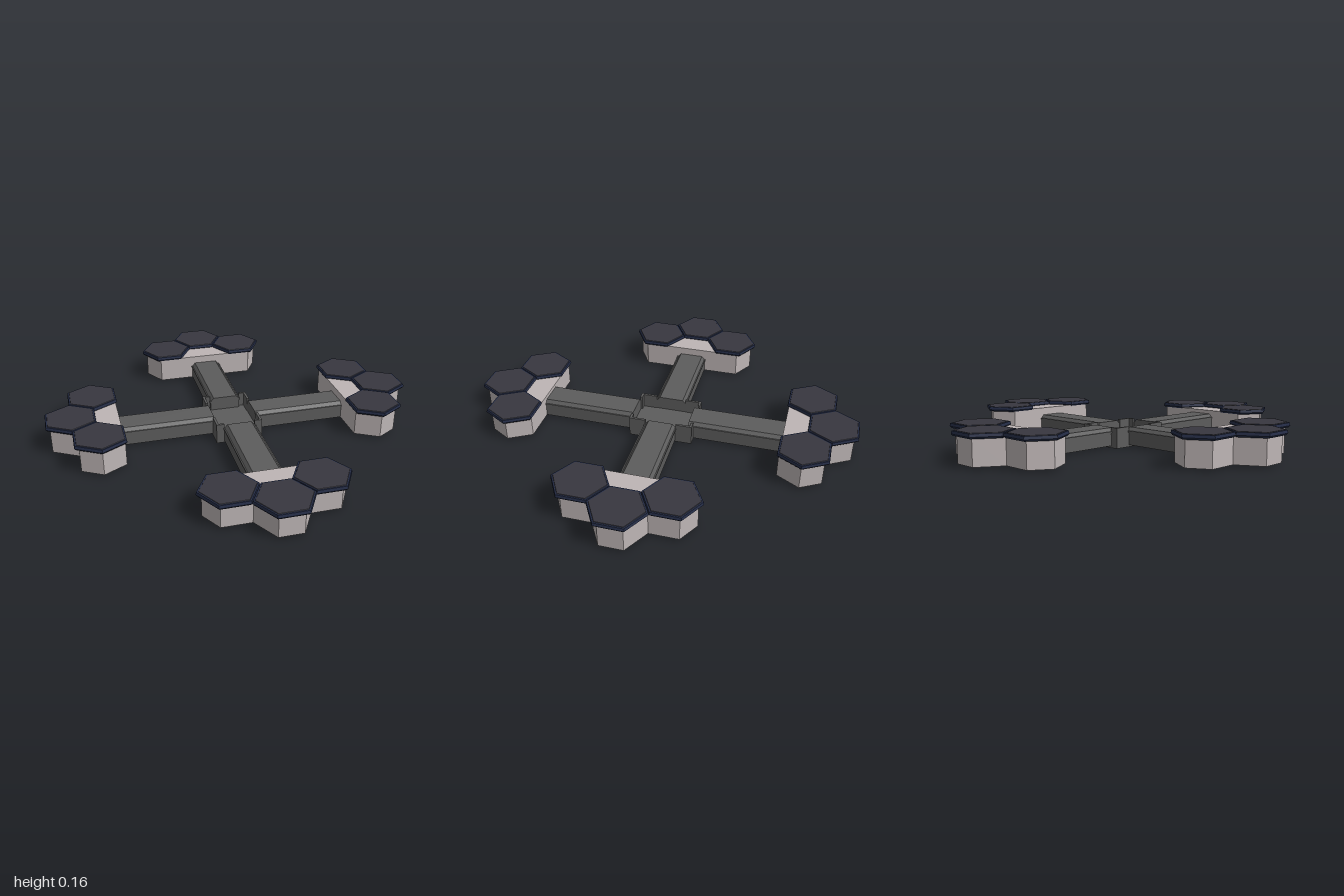
import * as THREE from 'three';

const mat = (color) => new THREE.MeshStandardMaterial({ color, flatShading: true });
const shellMat = mat(0xbdb5b5);
const armMat = mat(0x5c5c5c);
const rimMat = mat(0x252d47);
const padMat = mat(0x38373f);

const R = 0.143;              // hexagon corner radius
const A = R * Math.sqrt(3) / 2; // hexagon apothem

function add(parent, name, geometry, material, x = 0, y = 0, z = 0) {
  const mesh = new THREE.Mesh(geometry, material);
  mesh.name = name;
  mesh.position.set(x, y, z);
  parent.add(mesh);
  return mesh;
}

// Hexagonal disc with flat sides facing +z and -z
function hexagon(top, bottom, height) {
  return new THREE.CylinderGeometry(top, bottom, height, 6).rotateY(Math.PI / 6);
}

function polygon(points) {
  return new THREE.Shape(points.map(([x, y]) => new THREE.Vector2(x, y)));
}

// Shared shell of three joined hexagons, local +z pointing outward
function podShell(height) {
  const half = [[0.059, 0.103], [0.131, -0.022], [0.274, -0.022], [0.333, -0.125], [0.267, -0.24]];
  const mirrored = half.map(([x, y]) => [-x, y]).reverse();
  const geometry = new THREE.ExtrudeGeometry(polygon([...half, ...mirrored]), { depth: height, bevelEnabled: false });
  return geometry.rotateX(Math.PI / 2).translate(0, height, 0);
}

function createPod(top) {
  const pod = new THREE.Group();
  pod.name = 'pod';
  add(pod, 'podShell', podShell(top - 0.03), shellMat, 0, 0.01, 0);
  for (const [x, z] of [[0, 0], [-1.5 * R, -A], [1.5 * R, -A]]) {
    const pad = new THREE.Group();
    pad.name = 'hexagonPad';
    pad.position.set(x, top, z);
    add(pad, 'padUnderside', hexagon(R, R - 0.008, 0.009), rimMat, 0, -0.0205, 0);
    add(pad, 'padRim', hexagon(R - 0.003, R, 0.014), rimMat, 0, -0.009, 0);
    add(pad, 'padSurface', hexagon(R - 0.013, R - 0.01, 0.004), padMat, 0, -0.002, 0);
    pod.add(pad);
  }
  return pod;
}

// Beam with chamfered upper edges, running along local +z
function armBeam(length) {
  const half = [[0.08, 0.01], [0.08, 0.08], [0.063, 0.1]];
  const mirrored = half.map(([x, y]) => [-x, y]).reverse();
  return new THREE.ExtrudeGeometry(polygon([...half, ...mirrored]), { depth: length, bevelEnabled: false });
}

export function createModel() {
  const model = new THREE.Group();
  model.name = 'fourArmedPlatform';
  const centerZ = -0.012;

  // Arms with their pods: front, left, back, right
  const sides = [
    { turn: 0, inner: 0.15, reach: 0.875, top: 0.14 },
    { turn: 1, inner: 0.11, reach: 0.83, top: 0.16 },
    { turn: 2, inner: 0.15, reach: 0.875, top: 0.16 },
    { turn: 3, inner: 0.11, reach: 0.83, top: 0.16 },
  ];
  for (const { turn, inner, reach, top } of sides) {
    const side = new THREE.Group();
    side.name = 'armAssembly';
    side.rotation.y = turn * Math.PI / 2;
    side.position.z = turn % 2 ? centerZ : 0;
    add(side, 'arm', armBeam(reach - 0.23 - inner), armMat, 0, 0, inner);
    for (const s of [-1, 1]) {
      add(side, 'armEdgeRail', new THREE.BoxGeometry(0.006, 0.008, reach - 0.23 - inner), armMat,
        s * 0.081, 0.079, (reach - 0.23 + inner) / 2);
    }
    const pod = createPod(top);
    pod.position.z = reach;
    side.add(pod);
    model.add(side);
  }

  // Central hub: recessed floor with corner walls between the arms
  const hub = new THREE.Group();
  hub.name = 'hub';
  hub.position.z = centerZ;
  add(hub, 'hubFloor', new THREE.BoxGeometry(0.24, 0.03, 0.33), armMat, 0, 0.015, 0);
  for (const sx of [-1, 1]) {
    for (const sz of [-1, 1]) {
      add(hub, 'hubCornerSideWall', new THREE.BoxGeometry(0.012, 0.075, 0.085), armMat, sx * 0.114, 0.0665, sz * 0.1225);
      add(hub, 'hubCornerEndWall', new THREE.BoxGeometry(0.04, 0.075, 0.012), armMat, sx * 0.1, 0.0665, sz * 0.159);
    }
  }
  model.add(hub);
  return model;
}
